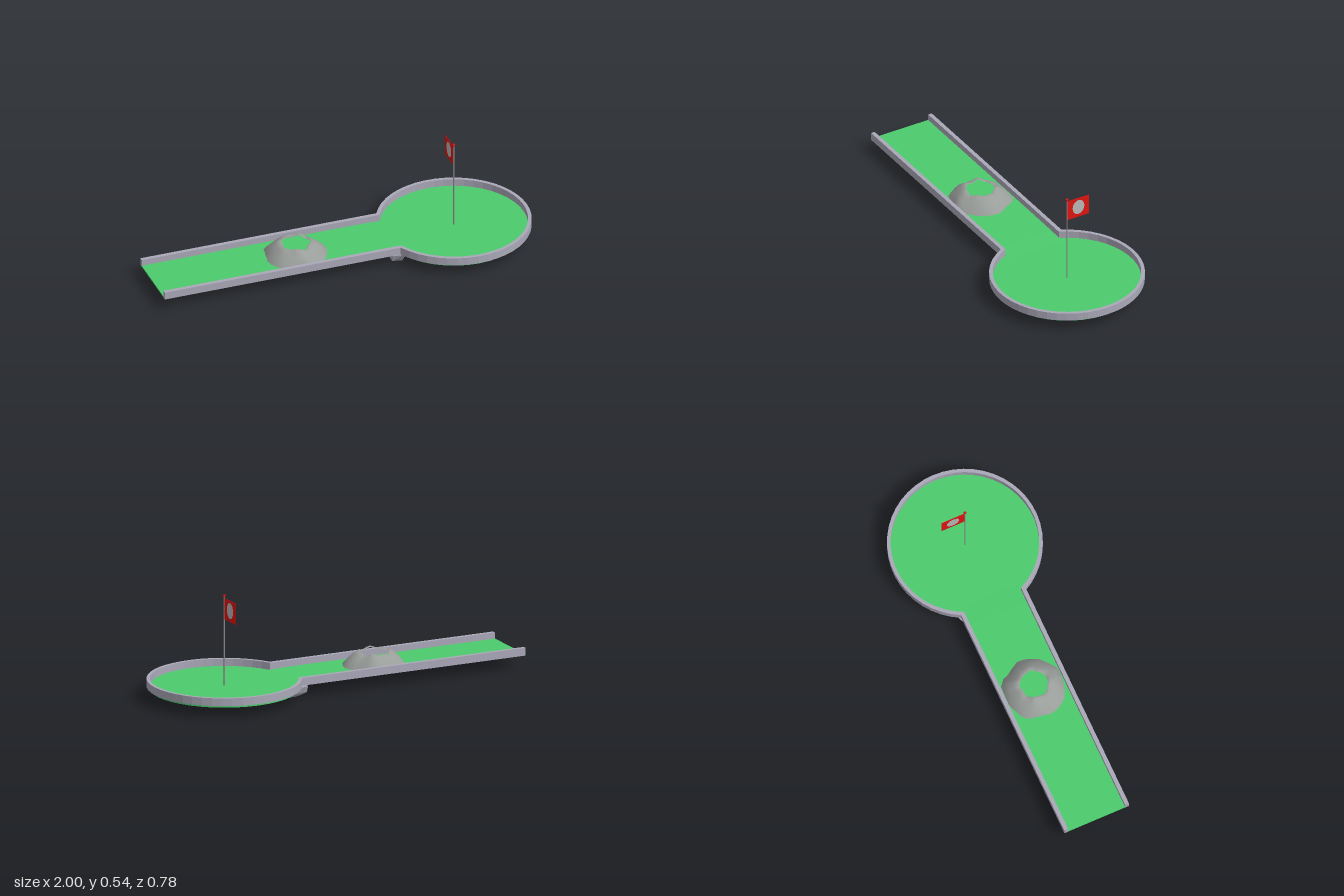
import * as THREE from 'three';
import { ConvexGeometry } from 'three/addons/geometries/ConvexGeometry.js';

const CX = 0.605; // centre of the round green
const SEGMENTS = 40;

const paint = (color, extra = {}) => new THREE.MeshStandardMaterial({ color, ...extra });

// Keyhole outline: straight lane edge, round the circle, back along the lane
function keyhole(halfWidth, radius) {
  const gap = Math.asin(halfWidth / radius);
  const start = Math.PI - gap;
  const pts = [new THREE.Vector2(-1, halfWidth)];
  for (let i = 0; i <= SEGMENTS; i++) {
    const a = start - (2 * start * i) / SEGMENTS;
    pts.push(new THREE.Vector2(CX + radius * Math.cos(a), radius * Math.sin(a)));
  }
  pts.push(new THREE.Vector2(-1, -halfWidth));
  return pts;
}

export function createModel() {
  const model = new THREE.Group();
  const add = (name, geometry, material, x = 0, y = 0, z = 0) => {
    const mesh = new THREE.Mesh(geometry, material);
    mesh.name = name;
    mesh.position.set(x, y, z);
    model.add(mesh);
    return mesh;
  };
  const wallPaint = paint(0xaaa8b8);
  const grass = paint(0x4ccb6c);
  const red = paint(0xe0140f);

  // Border wall, open at the tee end
  const outline = [...keyhole(0.177, 0.39), ...keyhole(0.156, 0.372).reverse()];
  const wall = new THREE.ExtrudeGeometry(new THREE.Shape(outline), { depth: 0.04, bevelEnabled: false });
  wall.rotateX(-Math.PI / 2);
  add('borderWall', wall, wallPaint, 0, 0.062, 0);

  // Lane, dipping gently onto the green
  const laneProfile = new THREE.Shape([
    [-1, 0.063], [0.3, 0.063], [0.36, 0.063], [0.2, 0.069], [0, 0.07], [-1, 0.07],
  ].map(([x, y]) => new THREE.Vector2(x, y)));
  const lane = new THREE.ExtrudeGeometry(laneProfile, { depth: 0.318, bevelEnabled: false });
  add('lane', lane, grass, 0, 0, -0.159);

  // Round putting green
  add('puttingGreen', new THREE.CylinderGeometry(0.374, 0.374, 0.015, SEGMENTS), grass, CX, 0.0575, 0);

  // Slanted support under the junction
  const supportPoints = [
    [0.28, 0, 0.137], [0.28, 0, -0.145], [0.25, 0.005, 0.137], [0.25, 0.005, -0.145],
    [0.69, 0.051, -0.35], [0.22, 0.02, 0.155], [0.22, 0.02, -0.155],
    [0.22, 0.055, 0.17], [0.22, 0.055, -0.17], [0.28, 0.055, 0.175],
  ].map((p) => new THREE.Vector3(...p));
  add('support', new ConvexGeometry(supportPoints), wallPaint);

  // Rocky crater: an open lathe with an uneven rim
  const craterProfile = [[0.163, 0.064], [0.148, 0.082], [0.125, 0.108], [0.1, 0.126], [0.082, 0.138], [0.07, 0.134]]
    .map(([r, y]) => new THREE.Vector2(r, y));
  const crater = new THREE.LatheGeometry(craterProfile, 26);
  const pos = crater.attributes.position;
  for (let i = 0; i < pos.count; i++) {
    const x = pos.getX(i), y = pos.getY(i), z = pos.getZ(i);
    const a = Math.atan2(z, x);
    const k = 1 + 0.035 * Math.sin(5 * a + 1) + 0.03 * Math.sin(8 * a + y * 40);
    const lift = (y - 0.064) * (0.06 * Math.sin(4 * a) + 0.06 * Math.sin(7 * a + 2));
    pos.setXYZ(i, x * k, y + lift, THREE.MathUtils.clamp(z * k, -0.153, 0.153));
  }
  crater.computeVertexNormals();
  add('crater', crater, paint(0x9a9e9b), -0.237, 0, 0);

  // Flag pole with its knob
  add('flagPole', new THREE.CylinderGeometry(0.003, 0.003, 0.465, 12), paint(0x8c8c90), CX, 0.2975, 0);
  add('poleKnob', new THREE.SphereGeometry(0.0075, 16, 12), red, CX, 0.529, 0);

  // Flag with a pale oval on each face
  add('flag', new THREE.BoxGeometry(0.002, 0.11, 0.126), red, CX, 0.463, -0.065);
  for (const side of [1, -1]) {
    const oval = add('flagOval', new THREE.CircleGeometry(1, 32), paint(0xb8b8b8),
      CX + side * 0.002, 0.466, -0.066);
    oval.scale.set(0.034, 0.041, 1);
    oval.rotation.y = (side * Math.PI) / 2;
  }

  return model;
}
